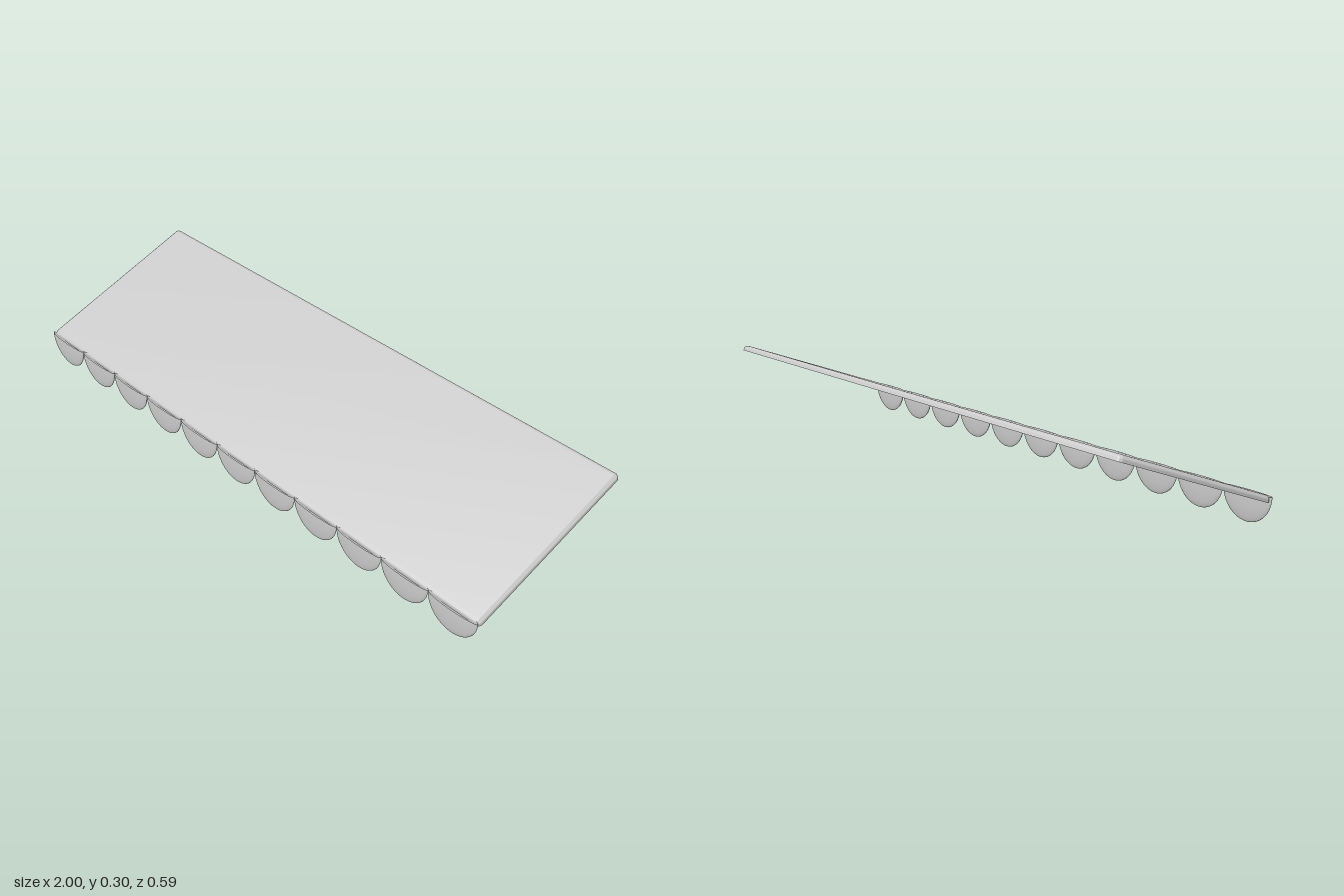
import * as THREE from 'three';
import { RoundedBoxGeometry } from 'three/addons/geometries/RoundedBoxGeometry.js';
import { toCreasedNormals } from 'three/addons/utils/BufferGeometryUtils.js';

const WIDTH = 2, DEPTH = 0.608, THICK = 0.02, SLOPE = THREE.MathUtils.degToRad(20);
const SCALLOPS = 11;

// Thin slab: rounded along the top edges, flat and sharp underneath
function slabGeometry() {
  const geo = new RoundedBoxGeometry(WIDTH, THICK * 2, DEPTH, 4, 0.014);
  const pos = geo.attributes.position;
  for (let i = 0; i < pos.count; i++) pos.setY(i, Math.max(0, pos.getY(i)));
  return toCreasedNormals(geo, 0.7);
}

export function createModel() {
  const group = new THREE.Group();
  group.name = 'awning';
  const grey = new THREE.MeshStandardMaterial({ color: 0xcccccc });
  const thin = new THREE.MeshStandardMaterial({ color: 0xcccccc, side: THREE.DoubleSide });

  // Sloping roof panel, high at the back
  const roof = new THREE.Mesh(slabGeometry(), grey);
  roof.name = 'roofPanel';
  roof.rotation.x = SLOPE;
  roof.position.set(0, 0.178, -0.0075);
  group.add(roof);

  // Row of flattened half-round scallops hanging from the front edge
  const radius = WIDTH / SCALLOPS / 2;
  const scallop = new THREE.SphereGeometry(radius, 32, 16, 0, Math.PI * 2, Math.PI / 2, Math.PI / 2);
  scallop.scale(1, 1, 0.0115 / radius);
  const valance = new THREE.Group();
  valance.name = 'valance';
  for (let i = 0; i < SCALLOPS; i++) {
    const mesh = new THREE.Mesh(scallop, thin);
    mesh.name = 'scallop';
    mesh.position.set(-1 + radius * (2 * i + 1), radius, 0.285);
    valance.add(mesh);
  }
  group.add(valance);
  return group;
}
